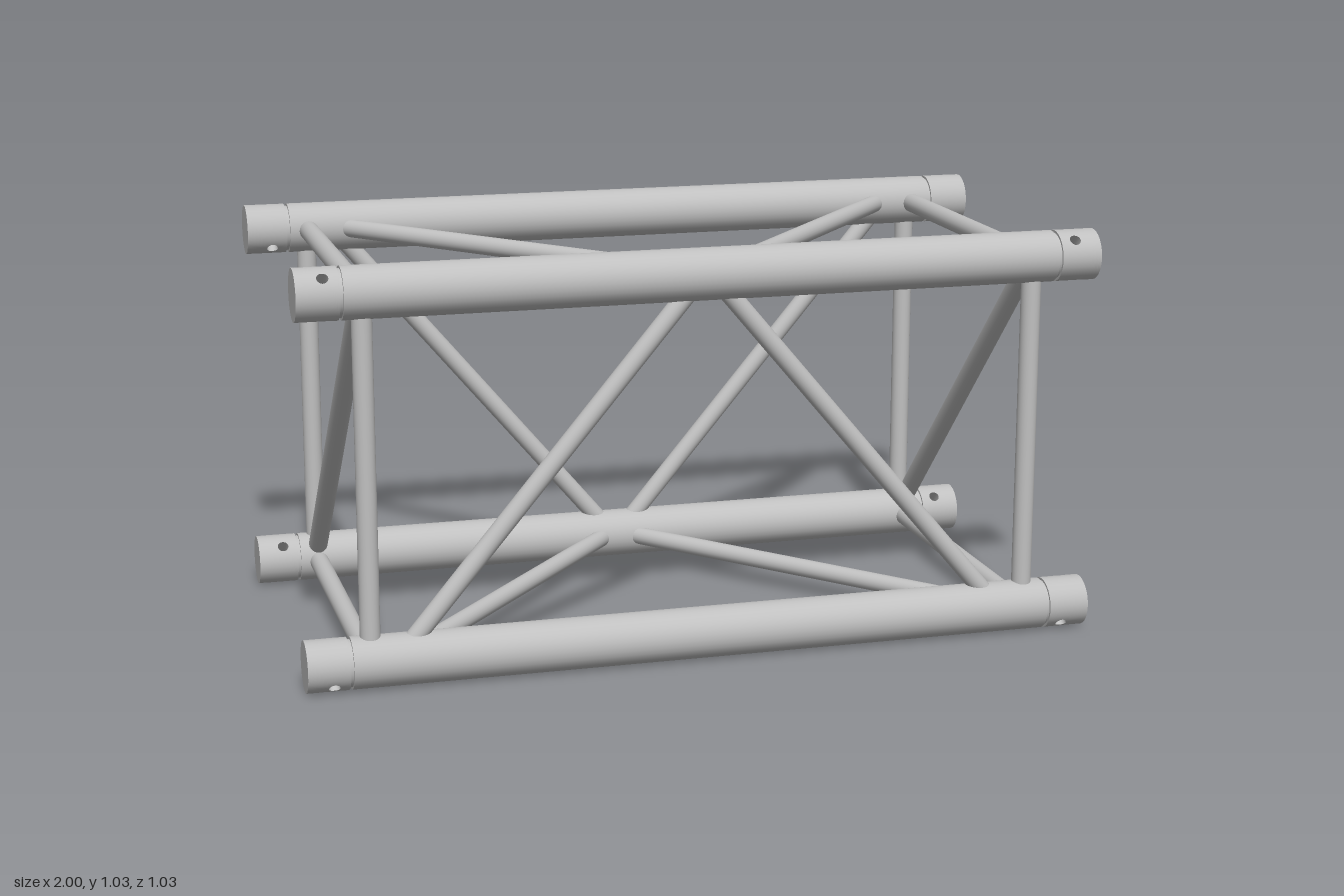
import * as THREE from 'three';
import { mergeGeometries } from 'three/addons/utils/BufferGeometryUtils.js';

const R = 0.064;              // chord radius
const LOW = 0.065, HIGH = 0.97, Z = 0.452;  // chord axes
const POST_X = 0.84;
const HOLE_R = 0.014, HOLE_X = 0.935;
const SLEEVE_IN = 0.897, CHORD_END = 0.889;

// Rectangular grid whose points are placed by a rule
function grid(nu, nv, place) {
  const g = new THREE.PlaneGeometry(1, 1, nu, nv);
  const { position, uv } = g.attributes;
  for (let i = 0; i < position.count; i++) {
    position.setXYZ(i, ...place(uv.getX(i), uv.getY(i)));
  }
  g.computeVertexNormals();
  return g;
}

// Half of the sleeve wall: blends from the pin hole out to a rectangle, bent round the x axis
function sleeveHalf() {
  const g = grid(64, 6, (u, v) => {
    const side = Math.floor(u * 4) % 4, f = (u * 4 - Math.floor(u * 4)) * 2 - 1;
    const [s, t] = [[1, f], [-f, 1], [-1, -f], [f, -1]][side];
    const phi = u * Math.PI * 2 - Math.PI / 4;
    const outX = s > 0 ? THREE.MathUtils.lerp(HOLE_X, 1, s) : THREE.MathUtils.lerp(HOLE_X, SLEEVE_IN, -s);
    const x = THREE.MathUtils.lerp(outX, HOLE_X + HOLE_R * Math.cos(phi), v);
    const a = THREE.MathUtils.lerp(t * Math.PI / 2, HOLE_R / R * Math.sin(phi), v);
    return [x, R * Math.cos(a), -R * Math.sin(a)];
  });
  const { position: p, normal: n } = g.attributes;
  for (let i = 0; i < p.count; i++) n.setXYZ(i, 0, p.getY(i) / R, p.getZ(i) / R);
  return g;
}

// Sleeve with a pin hole bored straight through it
function sleeveGeometry() {
  const bore = grid(32, 1, (u, v) => {
    const phi = u * Math.PI * 2, a = HOLE_R / R * Math.sin(phi);
    return [HOLE_X + HOLE_R * Math.cos(phi), R * Math.cos(a) * (1 - 2 * v), -R * Math.sin(a)];
  });
  const face = new THREE.CircleGeometry(R, 32).rotateY(Math.PI / 2).translate(1, 0, 0);
  const shoulder = new THREE.CircleGeometry(R, 32).rotateY(-Math.PI / 2).translate(SLEEVE_IN, 0, 0);
  return mergeGeometries([sleeveHalf(), sleeveHalf().rotateX(Math.PI), bore, face, shoulder]);
}

export function createModel() {
  const model = new THREE.Group();
  model.name = 'boxTruss';
  const aluminium = new THREE.MeshStandardMaterial({ color: 0xc0c0c0 });
  aluminium.name = 'aluminium';

  function add(parent, name, geometry) {
    const mesh = new THREE.Mesh(geometry, aluminium);
    mesh.name = name;
    parent.add(mesh);
    return mesh;
  }

  // Round tube between two points, shortened at both ends
  function strut(name, from, to, radius, inset) {
    const a = new THREE.Vector3(...from), b = new THREE.Vector3(...to);
    const dir = b.clone().sub(a), length = dir.length() - 2 * inset;
    const mesh = add(model, name, new THREE.CylinderGeometry(radius, radius, length, 24));
    mesh.position.copy(a).add(b).multiplyScalar(0.5);
    mesh.quaternion.setFromUnitVectors(new THREE.Vector3(0, 1, 0), dir.normalize());
  }

  // Four main chords with grooved end sleeves
  const tube = new THREE.CylinderGeometry(R, R, CHORD_END * 2, 32).rotateZ(Math.PI / 2);
  const core = new THREE.CylinderGeometry(R - 0.006, R - 0.006, SLEEVE_IN * 2, 32, 1, true).rotateZ(Math.PI / 2);
  const sleeve = sleeveGeometry();
  for (const y of [LOW, HIGH]) {
    for (const z of [-Z, Z]) {
      const chord = new THREE.Group();
      chord.name = (y === HIGH ? 'top' : 'bottom') + (z > 0 ? 'Front' : 'Back') + 'Chord';
      chord.position.set(0, y, z);
      add(chord, 'chordTube', tube);
      add(chord, 'grooveCore', core);
      const tilt = ((y === HIGH) === (z > 0) ? 1 : -1) * Math.PI / 4;
      add(chord, 'leftEndSleeve', sleeve).rotation.set(tilt, 0, 0);
      add(chord, 'rightEndSleeve', sleeve).rotation.set(tilt, Math.PI, 0);
      model.add(chord);
    }
  }

  // End frames: posts, cross bars and one diagonal brace
  for (const x of [-POST_X, POST_X]) {
    for (const z of [-Z, Z]) strut('endPost', [x, LOW, z], [x, HIGH, z], 0.025, 0.058);
    for (const y of [LOW, HIGH]) strut('endCrossBar', [x, y, -Z], [x, y, Z], 0.025, 0.058);
    strut('endDiagonal', [x, HIGH, Z], [x, LOW, -Z], 0.025, 0.058);
  }

  // Zigzag braces on the four long faces, mirrored about the middle
  const outer = 0.774, inner = 0.011;
  for (const s of [-1, 1]) {
    strut('frontBrace', [s * outer, LOW, Z], [s * inner, HIGH, Z], 0.0235, 0.06);
    strut('backBrace', [s * outer, HIGH, -Z], [s * inner, LOW, -Z], 0.0235, 0.06);
    strut('topBrace', [s * outer, HIGH, -Z], [s * inner, HIGH, Z], 0.0235, 0.06);
    strut('bottomBrace', [s * outer, LOW, Z], [s * inner, LOW, -Z], 0.0235, 0.06);
  }
  return model;
}
